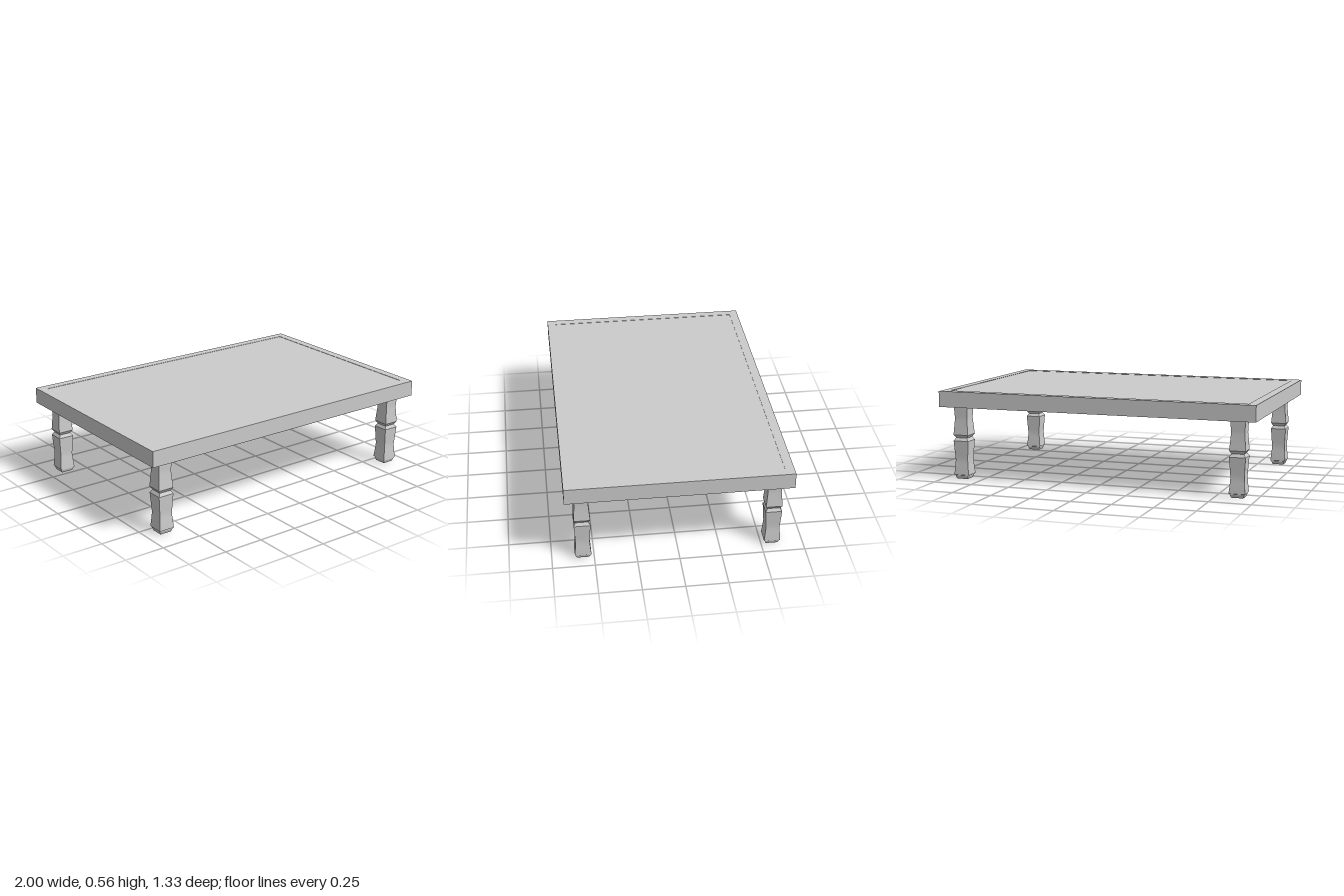
import * as THREE from 'three';
import { toCreasedNormals } from 'three/addons/utils/BufferGeometryUtils.js';

const HALF_X = 1, HALF_Z = 0.665, RIM = 0.055;
const TOP = 0.555, RIM_BOTTOM = 0.457, PANEL_BOTTOM = 0.52;

// Half-width and height of the square leg, from foot to top
const LEG_PROFILE = [
  [0, 0], [0.036, 0], [0.043, 0.018], [0.043, 0.023], [0.049, 0.026],
  [0.043, 0.09], [0.041, 0.12], [0.043, 0.15], [0.049, 0.24],
  [0.037, 0.259], [0.049, 0.278], [0.041, 0.375], [0.041, 0.39],
  [0.045, 0.457], [0.045, PANEL_BOTTOM], [0, PANEL_BOTTOM],
];

function rectangle(target, hx, hz) {
  target.moveTo(-hx, -hz);
  target.lineTo(hx, -hz);
  target.lineTo(hx, hz);
  target.lineTo(-hx, hz);
  target.closePath();
  return target;
}

// A four-sided lathe gives a square section; corners and notches stay sharp
function legGeometry() {
  const points = LEG_PROFILE.map(([w, y]) => new THREE.Vector2(w * Math.SQRT2, y));
  return toCreasedNormals(new THREE.LatheGeometry(points, 4, Math.PI / 4), 0.35);
}

export function createModel() {
  const model = new THREE.Group();
  model.name = 'lowTable';
  const material = new THREE.MeshStandardMaterial({ color: 0xcccccc });
  const add = (name, geometry, x = 0, y = 0, z = 0) => {
    const mesh = new THREE.Mesh(geometry, material);
    mesh.name = name;
    mesh.position.set(x, y, z);
    model.add(mesh);
  };

  // Rim frame around the table top, deeper than the panel
  const outline = rectangle(new THREE.Shape(), HALF_X, HALF_Z);
  outline.holes.push(rectangle(new THREE.Path(), HALF_X - RIM, HALF_Z - RIM));
  const frame = new THREE.ExtrudeGeometry(outline, { depth: TOP - RIM_BOTTOM, bevelEnabled: false });
  frame.rotateX(-Math.PI / 2);
  add('rimFrame', frame, 0, RIM_BOTTOM, 0);

  // Inset panel, a hair below the rim
  const panelTop = TOP - 0.002;
  add('topPanel',
    new THREE.BoxGeometry(2 * (HALF_X - RIM), panelTop - PANEL_BOTTOM, 2 * (HALF_Z - RIM)),
    0, (panelTop + PANEL_BOTTOM) / 2, 0);

  // Four shaped legs tucked into the corners of the frame
  const leg = legGeometry();
  for (const [side, sx] of [['Left', 1], ['Right', -1]]) {
    for (const [end, sz] of [['front', 1], ['back', -1]]) {
      add(`${end}${side}Leg`, leg, sx * 0.882, 0, sz * 0.565);
    }
  }
  return model;
}
